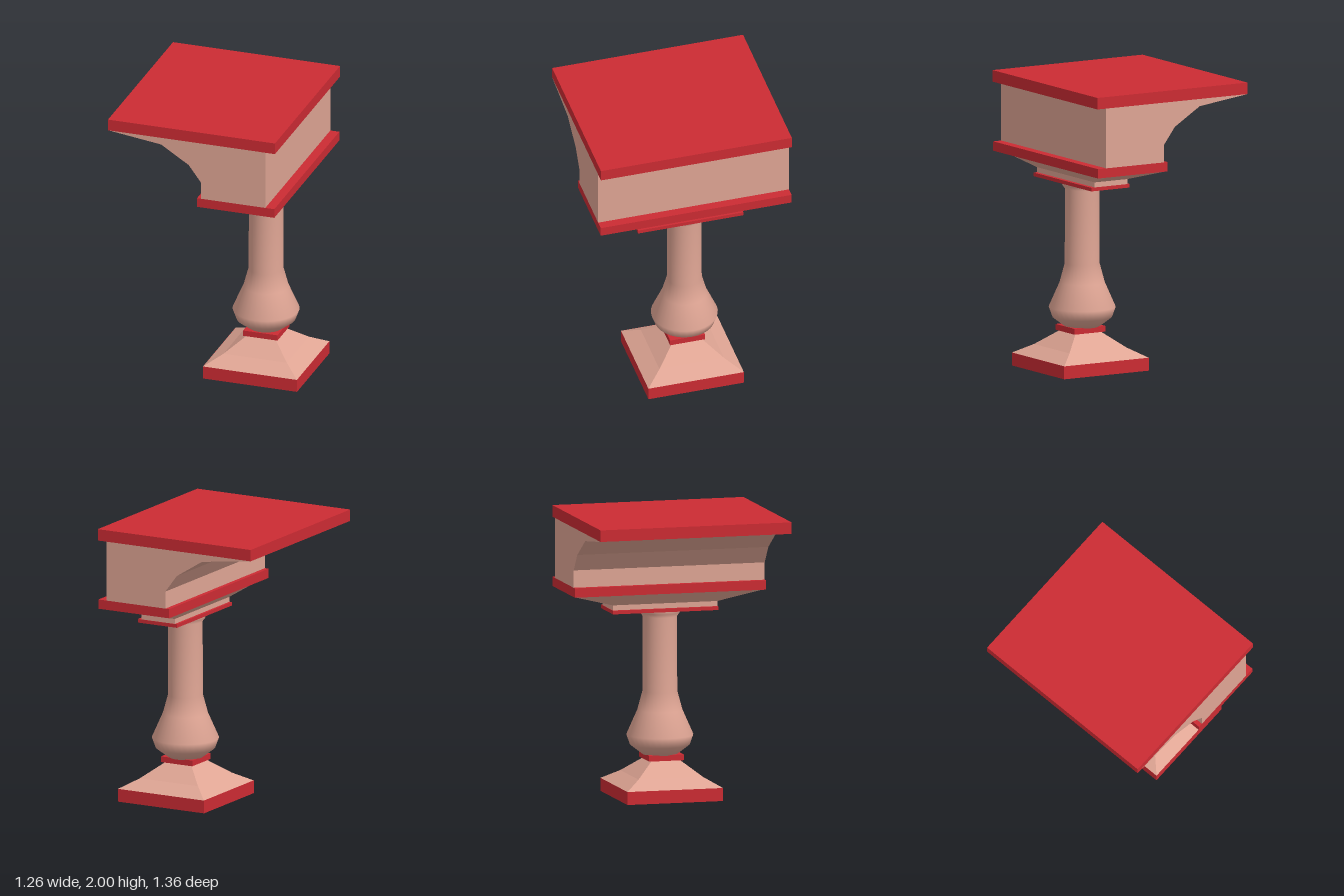
import * as THREE from 'three';

const red = new THREE.MeshStandardMaterial({ color: 0xcc2b33 });
const stone = new THREE.MeshStandardMaterial({ color: 0xdfa594 });

// Box given by its extents on each axis
function slab(name, [x0, x1], [y0, y1], [z0, z1], material) {
  const mesh = new THREE.Mesh(new THREE.BoxGeometry(x1 - x0, y1 - y0, z1 - z0), material);
  mesh.position.set((x0 + x1) / 2, (y0 + y1) / 2, (z0 + z1) / 2);
  mesh.name = name;
  return mesh;
}

// Solid through stacked rectangles, each [y, half width, half depth]
function rectLoft(name, cx, cz, sections, material) {
  const pos = [];
  const rings = sections.map(([y, w, d]) =>
    [[-1, 1], [1, 1], [1, -1], [-1, -1]].map(([sx, sz]) => [cx + sx * w, y, cz + sz * d]));
  const quad = (a, b, c, d) => pos.push(...a, ...b, ...c, ...a, ...c, ...d);
  for (let i = 0; i < rings.length - 1; i++) {
    for (let k = 0; k < 4; k++) {
      const n = (k + 1) % 4;
      quad(rings[i][k], rings[i][n], rings[i + 1][n], rings[i + 1][k]);
    }
  }
  const [a, b, c, d] = rings[0];
  quad(d, c, b, a);
  quad(...rings[rings.length - 1]);
  const geometry = new THREE.BufferGeometry();
  geometry.setAttribute('position', new THREE.Float32BufferAttribute(pos, 3));
  geometry.computeVertexNormals();
  const mesh = new THREE.Mesh(geometry, material);
  mesh.name = name;
  return mesh;
}

export function createModel() {
  const group = new THREE.Group();
  group.name = 'balusterBracket';
  const cx = 0.28, baseX = 0.286, baseZ = 0.015;
  const depth = [-0.68, 0.68];

  // Square foot with a sloped pedestal and collar
  group.add(slab('plinth', [-0.055, 0.627], [0, 0.09], [-0.325, 0.355], red));
  group.add(rectLoft('pedestal', baseX, baseZ,
    [[0.09, 0.34, 0.34], [0.155, 0.23, 0.23], [0.26, 0.1, 0.1]], stone));
  group.add(slab('collar', [0.162, 0.41], [0.26, 0.3], [-0.11, 0.138], red));

  // Turned baluster
  const profile = [[0, 0.295], [0.12, 0.295], [0.205, 0.36], [0.23, 0.43], [0.155, 0.6],
    [0.12, 0.73], [0.118, 1.25], [0.137, 1.275], [0.137, 1.3]];
  const baluster = new THREE.Mesh(
    new THREE.LatheGeometry(profile.map(([r, y]) => new THREE.Vector2(r, y)), 32), stone);
  baluster.name = 'baluster';
  baluster.position.x = cx;
  group.add(baluster);

  // Capital: thin plate, neck and flare
  group.add(slab('capitalPlate', [0.13, 0.44], [1.295, 1.32], [-0.375, 0.375], red));
  group.add(rectLoft('capitalFlare', cx, 0,
    [[1.32, 0.132, 0.372], [1.355, 0.132, 0.372], [1.44, 0.235, 0.68]], stone));
  group.add(slab('lowerSlab', [0.015, 0.575], [1.44, 1.505], depth, red));

  // Bracket with a concave overhang
  const outline = [[0.045, 1.505], [0.51, 1.505], [0.51, 1.92], [-0.63, 1.92],
    [-0.245, 1.87], [-0.045, 1.745], [0.045, 1.625]];
  const shape = new THREE.Shape(outline.map(([x, y]) => new THREE.Vector2(x, y)));
  const bracket = new THREE.Mesh(
    new THREE.ExtrudeGeometry(shape, { depth: 1.36, bevelEnabled: false }), stone);
  bracket.name = 'bracket';
  bracket.position.z = -0.68;
  group.add(bracket);

  group.add(slab('topSlab', [-0.63, 0.58], [1.92, 2], depth, red));
  return group;
}
